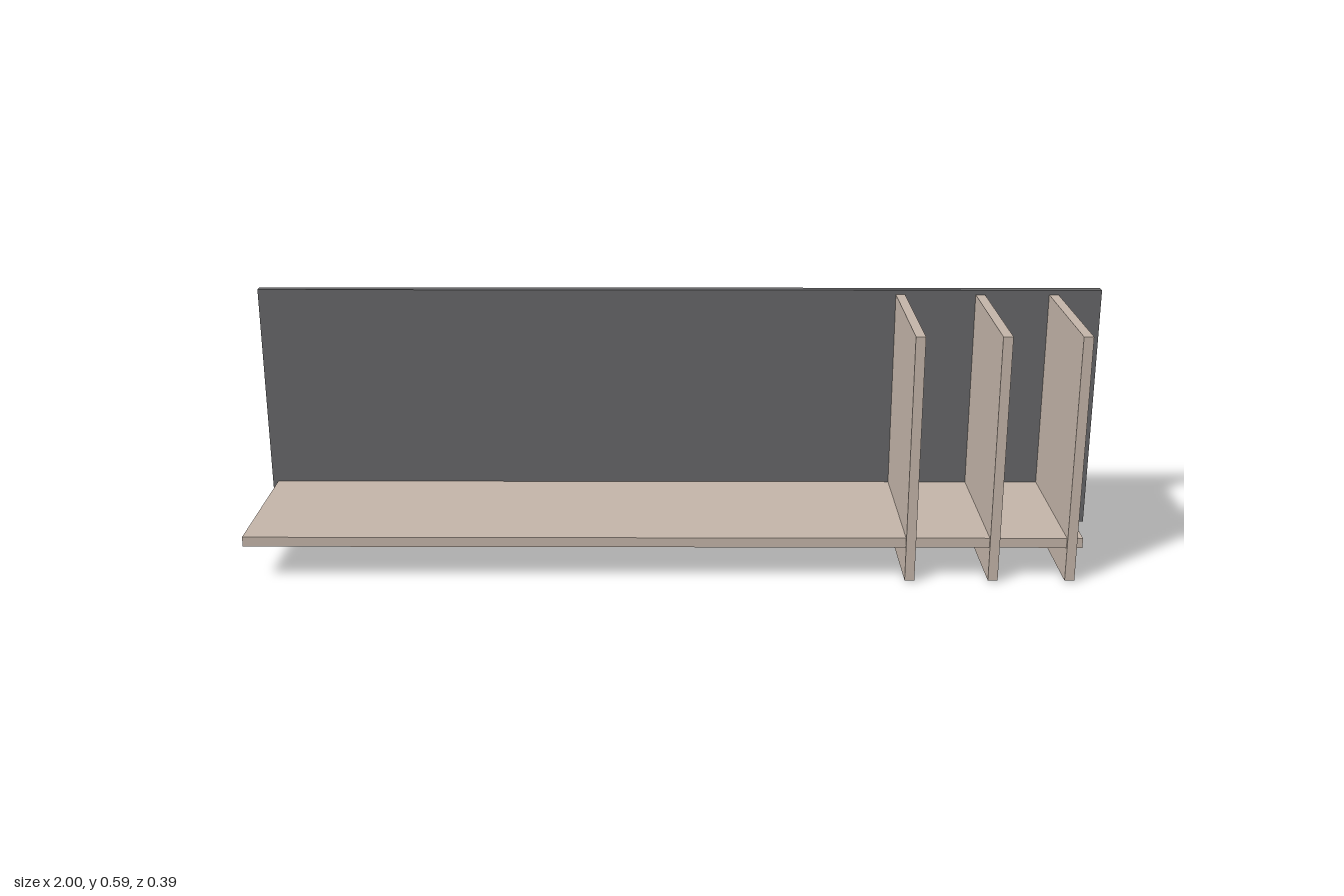
import * as THREE from 'three';

export function createModel() {
  const model = new THREE.Group();
  model.name = 'wallShelf';

  const charcoal = new THREE.MeshStandardMaterial({ color: 0x666668 });
  charcoal.name = 'charcoal panel';
  const wood = new THREE.MeshStandardMaterial({ color: 0xc4b5a9 });
  wood.name = 'pale wood';

  // Board given by its lower and upper corners
  function board(name, material, [x0, y0, z0], [x1, y1, z1]) {
    const mesh = new THREE.Mesh(new THREE.BoxGeometry(x1 - x0, y1 - y0, z1 - z0), material);
    mesh.position.set((x0 + x1) / 2, (y0 + y1) / 2, (z0 + z1) / 2);
    mesh.name = name;
    model.add(mesh);
  }

  const panelFront = -0.173;
  const thickness = 0.022;

  // Back panel and the long shelf in front of it
  board('backPanel', charcoal, [-1, 0, -0.196], [1, 0.588, panelFront]);
  board('shelf', wood, [-0.987, 0.081, panelFront], [0.912, 0.104, 0.189]);

  // Upright dividers crossing the shelf
  [0.524, 0.713, 0.887].forEach((x, i) => {
    board(`divider${i + 1}`, wood,
      [x - thickness / 2, 0.003, panelFront], [x + thickness / 2, 0.577, 0.196]);
  });

  return model;
}
